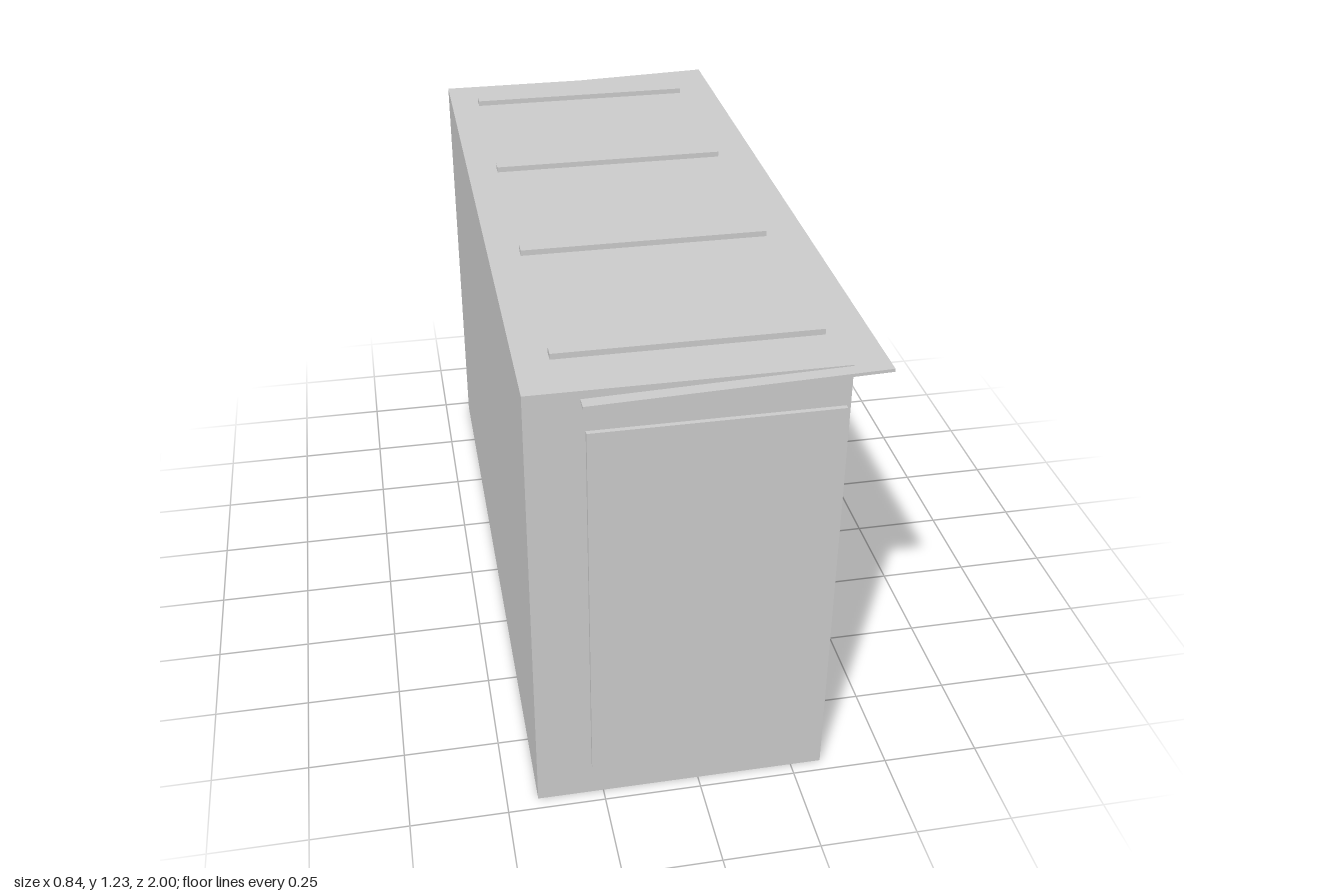
import * as THREE from 'three';

export function createModel() {
  const group = new THREE.Group();
  const material = new THREE.MeshStandardMaterial({ color: 0xcccccc, flatShading: true });

  // Box given by its extents along each axis
  function block(name, [x0, x1], [y0, y1], [z0, z1]) {
    const mesh = new THREE.Mesh(new THREE.BoxGeometry(x1 - x0, y1 - y0, z1 - z0), material);
    mesh.name = name;
    mesh.position.set((x0 + x1) / 2, (y0 + y1) / 2, (z0 + z1) / 2);
    group.add(mesh);
    return mesh;
  }

  const left = -0.42, right = 0.33, inner = -0.233;
  const back = -0.967, front = 0.967, frontInner = 0.885;
  const ceiling = 1.135, top = 1.212;

  // Shelter body: roof slab carried by an end wall and a thick long wall
  block('roofSlab', [left, right], [ceiling, top], [back, front]);
  block('endWall', [left, right], [0, ceiling], [frontInner, front]);
  block('longWall', [left, inner], [0, ceiling], [back, frontInner]);

  // Trim post standing slightly proud at the open end of the long wall
  block('endPost', [inner, -0.22], [0.01, ceiling], [back, -0.9]);

  // Raised panel on the outside of the end wall
  block('frontPanel', [-0.28, 0.32], [0.1, 1.107], [front, 0.979]);

  // Thin, slightly tilted roof sheet overhanging the body
  const x0 = -0.29, x1 = 0.415, y0 = 1.187, y1 = 1.208;
  const sheet = new THREE.Mesh(
    new THREE.BoxGeometry(Math.hypot(x1 - x0, y1 - y0), 0.008, 2), material);
  sheet.name = 'roofSheet';
  sheet.position.set((x0 + x1) / 2, (y0 + y1) / 2, 0);
  sheet.rotation.z = Math.atan2(y1 - y0, x1 - x0);
  group.add(sheet);

  // Battens across the roof
  for (const z of [-0.81, -0.275, 0.27, 0.805]) {
    block('roofBatten', [-0.337, 0.307], [top, 1.227], [z - 0.016, z + 0.016]);
  }

  return group;
}
